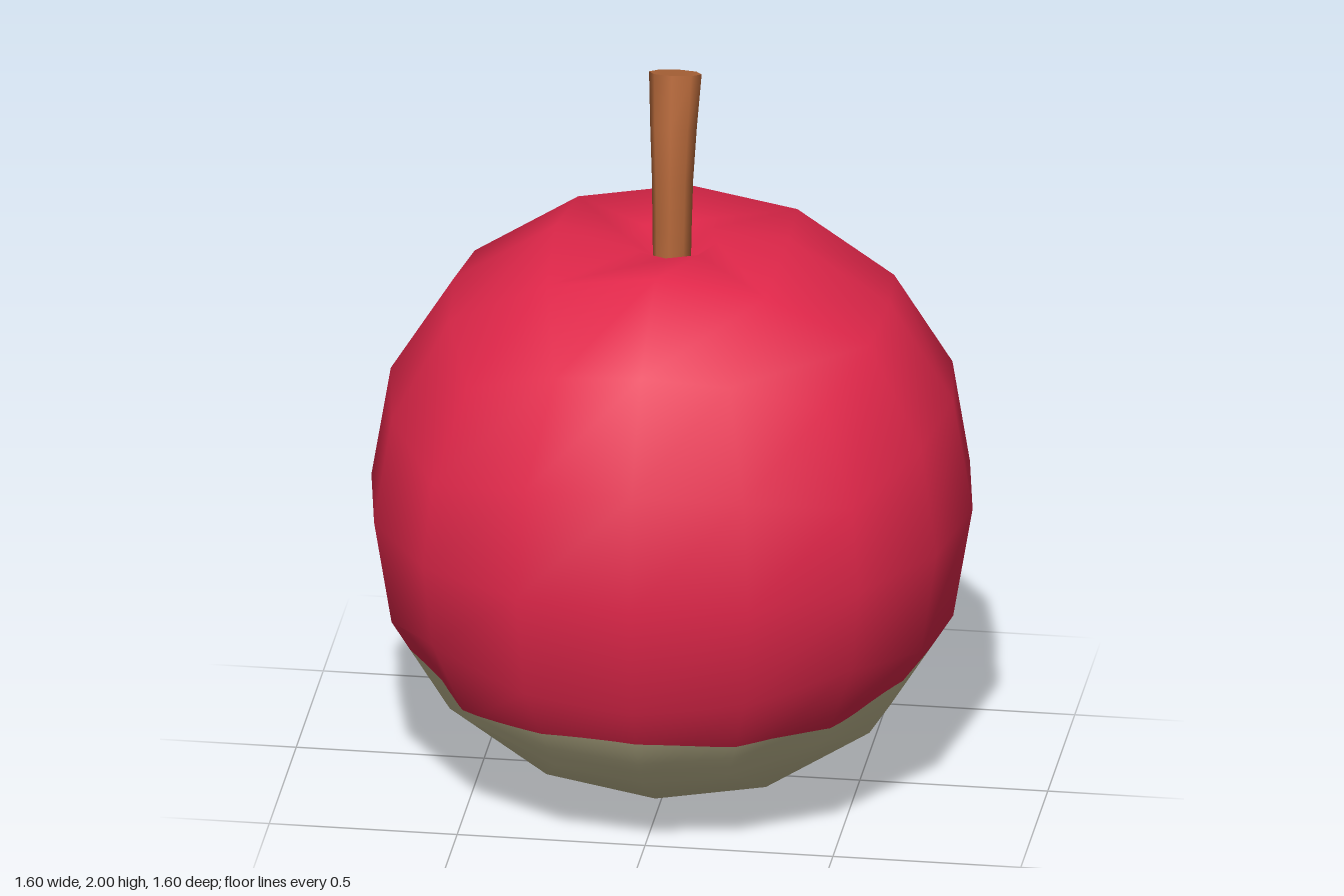
import * as THREE from 'three';
import { mergeVertices } from 'three/addons/utils/BufferGeometryUtils.js';

const CENTRE = 0.8;

// Slightly boxy sphere made from a 4 x 4 x 4 cube, with a dimple on top
function fruitGeometry() {
  const box = new THREE.BoxGeometry(2, 2, 2, 4, 4, 4);
  box.deleteAttribute('normal');
  box.deleteAttribute('uv');
  const cube = mergeVertices(box);
  const positions = [];
  const inDimple = [];
  const v = new THREE.Vector3();
  for (let i = 0; i < cube.attributes.position.count; i++) {
    v.fromBufferAttribute(cube.attributes.position, i);
    inDimple.push(v.y > 0.99 && Math.abs(v.x) < 0.51 && Math.abs(v.z) < 0.51);
    v.set(...v.toArray().map((c) => Math.tan(c * Math.PI / 4))).normalize();
    const x = v.x ** 2, y = v.y ** 2, z = v.z ** 2;
    v.multiplyScalar(0.8 * (1 + 0.1 * (x * y + y * z + z * x)));
    positions.push(v.x, v.y + CENTRE, v.z);
  }

  // Leave out the top patch, then refill it with a lip and a hollow
  const index = [];
  const old = cube.index.array;
  for (let i = 0; i < old.length; i += 3) {
    const tri = [old[i], old[i + 1], old[i + 2]];
    if (!tri.every((k) => inDimple[k])) index.push(...tri);
  }
  const angle = (k) => Math.atan2(positions[k * 3], positions[k * 3 + 2]);
  const outer = inDimple.map((d, k) => (d ? k : -1))
    .filter((k) => k >= 0 && Math.hypot(positions[k * 3], positions[k * 3 + 2]) > 0.1)
    .sort((a, b) => angle(a) - angle(b));
  const lip = positions.length / 3;
  outer.forEach((k) => positions.push(0.12 * Math.sin(angle(k)), 1.525, 0.12 * Math.cos(angle(k))));
  const pit = positions.length / 3;
  positions.push(0, 1.44, 0);
  outer.forEach((a, i) => {
    const j = (i + 1) % outer.length;
    index.push(a, outer[j], lip + j, a, lip + j, lip + i, lip + i, lip + j, pit);
  });

  const geometry = new THREE.BufferGeometry();
  geometry.setAttribute('position', new THREE.Float32BufferAttribute(positions, 3));
  geometry.setIndex(index);
  geometry.computeVertexNormals();
  return geometry;
}

// Height above the wavy edge of the pale base
function aboveEdge({ p }) {
  const a = Math.atan2(p.x, p.z);
  const rise = THREE.MathUtils.smoothstep(Math.abs(Math.sin(a)), 0.72, 0.97);
  return p.y - (0.36 + 0.06 * rise + 0.008 * Math.sin(6 * a + 2.3));
}

const mix = (a, b, t) => ({ p: a.p.clone().lerp(b.p, t), n: a.n.clone().lerp(b.n, t) });

// Keep the part of a triangle on one side of the wavy edge
function clip(tri, sign, out) {
  const poly = [];
  tri.forEach((a, i) => {
    const b = tri[(i + 1) % 3];
    const da = sign * aboveEdge(a), db = sign * aboveEdge(b);
    if (da >= 0) poly.push(a);
    if ((da >= 0) !== (db >= 0)) poly.push(mix(a, b, da / (da - db)));
  });
  for (let i = 2; i < poly.length; i++) out.push(poly[0], poly[i - 1], poly[i]);
}

// Split the fruit into its skin and its pale base
function splitFruit(geometry) {
  const skin = [], base = [];
  const { position, normal } = geometry.attributes;
  const corner = (i) => ({
    p: new THREE.Vector3().fromBufferAttribute(position, i),
    n: new THREE.Vector3().fromBufferAttribute(normal, i),
  });
  const ids = geometry.index.array;
  for (let f = 0; f < ids.length; f += 3) {
    const [a, b, c] = [corner(ids[f]), corner(ids[f + 1]), corner(ids[f + 2])];
    const n = Math.min(a.p.y, b.p.y, c.p.y) > 0.45 ? 1 : 8;
    const at = (i, j) => {
      const q = { p: a.p.clone(), n: a.n.clone() };
      for (const key of ['p', 'n']) {
        q[key].multiplyScalar(1 - (i + j) / n)
          .addScaledVector(b[key], i / n).addScaledVector(c[key], j / n);
      }
      return q;
    };
    for (let i = 0; i < n; i++) {
      for (let j = 0; j < n - i; j++) {
        const tris = [[at(i, j), at(i + 1, j), at(i, j + 1)]];
        if (i + j < n - 1) tris.push([at(i + 1, j), at(i + 1, j + 1), at(i, j + 1)]);
        for (const t of tris) {
          clip(t, 1, skin);
          clip(t, -1, base);
        }
      }
    }
  }
  return [skin, base].map((list) => {
    const g = new THREE.BufferGeometry();
    const flat = (key) => new THREE.Float32BufferAttribute(
      list.flatMap((q) => (key === 'n' ? q.n.normalize() : q.p).toArray()), 3);
    g.setAttribute('position', flat('p'));
    g.setAttribute('normal', flat('n'));
    return g;
  });
}

// Eight-sided stem that bends back and widens: height, z, radius, tilt
function stemGeometries() {
  const rings = [
    [1.42, 0.003, 0.05, 0], [1.56, -0.002, 0.052, 0.03], [1.7, -0.01, 0.055, 0.1],
    [1.84, -0.028, 0.062, 0.19], [1.98, -0.062, 0.07, 0.29],
  ];
  const side = new THREE.CylinderGeometry(1, 1, 1, 8, rings.length - 1, true);
  const top = new THREE.CircleGeometry(1, 8).rotateX(-Math.PI / 2);
  const place = (g, ringOf) => {
    const pos = g.attributes.position;
    for (let i = 0; i < pos.count; i++) {
      const [y, z, r, tilt] = rings[ringOf(pos.getY(i))];
      const px = pos.getX(i) * r, pz = pos.getZ(i) * r;
      pos.setXYZ(i, px, y + pz * Math.sin(tilt), z + pz * Math.cos(tilt));
    }
  };
  place(side, (y) => Math.round((y + 0.5) * (rings.length - 1)));
  place(top, () => rings.length - 1);
  // Weld the seam so the side shades smoothly
  side.deleteAttribute('uv');
  side.deleteAttribute('normal');
  const smooth = mergeVertices(side, 1e-4);
  smooth.computeVertexNormals();
  top.computeVertexNormals();
  return [smooth, top];
}

export function createModel() {
  const material = (name, color) => {
    const m = new THREE.MeshStandardMaterial({ color });
    m.name = name;
    return m;
  };
  const red = material('red skin', 0xe0274a);
  const tan = material('pale tan', 0xc8c096);
  const brown = material('stem brown', 0xb5683a);

  const model = new THREE.Group();
  model.name = 'fruit';
  const add = (name, geometry, mat) => {
    const mesh = new THREE.Mesh(geometry, mat);
    mesh.name = name;
    model.add(mesh);
  };
  const [skin, base] = splitFruit(fruitGeometry());
  add('skin', skin, red);
  add('paleBase', base, tan);
  const [stem, stemTop] = stemGeometries();
  add('stem', stem, brown);
  add('stemTop', stemTop, brown);
  return model;
}
